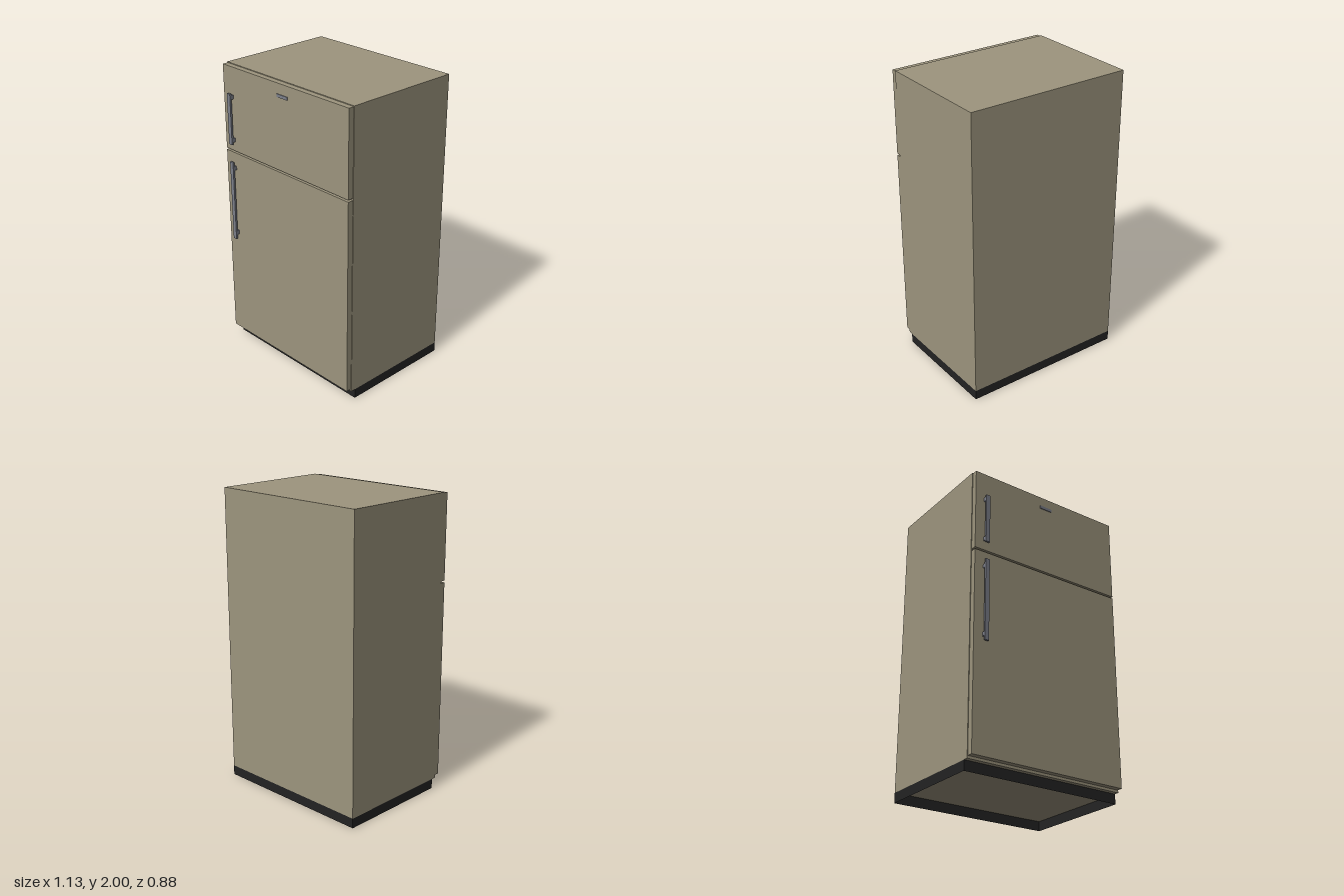
import * as THREE from 'three';

export function createModel() {
  const group = new THREE.Group();
  const material = (name, color, side = THREE.FrontSide) => {
    const m = new THREE.MeshStandardMaterial({ color, side });
    m.name = name;
    return m;
  };
  const olive = material('olive enamel', 0x9d957e);
  const metal = material('grey metal', 0x7c7f8a);
  const black = material('black plinth', 0x232323, THREE.DoubleSide);

  // Box given by its extents on each axis
  const box = (name, mat, [x0, x1], [y0, y1], [z0, z1], parent = group) => {
    const mesh = new THREE.Mesh(new THREE.BoxGeometry(x1 - x0, y1 - y0, z1 - z0), mat);
    mesh.position.set((x0 + x1) / 2, (y0 + y1) / 2, (z0 + z1) / 2);
    mesh.name = name;
    parent.add(mesh);
  };

  // Cabinet and doors
  box('cabinet', olive, [-0.564, 0.564], [0.066, 2], [-0.44, 0.373]);
  box('freezerDoor', olive, [-0.56, 0.56], [1.431, 1.995], [0.373, 0.411]);
  box('fridgeDoor', olive, [-0.56, 0.56], [0.083, 1.418], [0.373, 0.411]);

  // Plinth: four thin walls, open underneath
  const plinth = new THREE.Group();
  plinth.name = 'plinth';
  const wall = (name, width, x, z, turn) => {
    const mesh = new THREE.Mesh(new THREE.PlaneGeometry(width, 0.066), black);
    mesh.position.set(x, 0.033, z);
    mesh.rotation.y = turn;
    mesh.name = name;
    plinth.add(mesh);
  };
  wall('plinthFront', 1.128, 0, 0.342, 0);
  wall('plinthBack', 1.128, 0, -0.44, Math.PI);
  for (const s of [-1, 1]) wall(s < 0 ? 'plinthRight' : 'plinthLeft', 0.782, s * 0.564, -0.049, s * Math.PI / 2);
  group.add(plinth);

  // Handles: a flat bar on two short posts
  const handle = (name, y0, y1, posts) => {
    const g = new THREE.Group();
    g.name = name;
    box('bar', metal, [-0.497, -0.468], [y0, y1], [0.427, 0.44], g);
    for (const y of posts) box('post', metal, [-0.497, -0.468], [y - 0.013, y + 0.013], [0.411, 0.427], g);
    group.add(g);
  };
  handle('freezerHandle', 1.481, 1.823, [1.508, 1.798]);
  handle('fridgeHandle', 0.802, 1.357, [0.846, 1.313]);

  // Blank badge plate
  box('badge', metal, [-0.046, 0.046], [1.908, 1.928], [0.411, 0.416]);

  return group;
}
